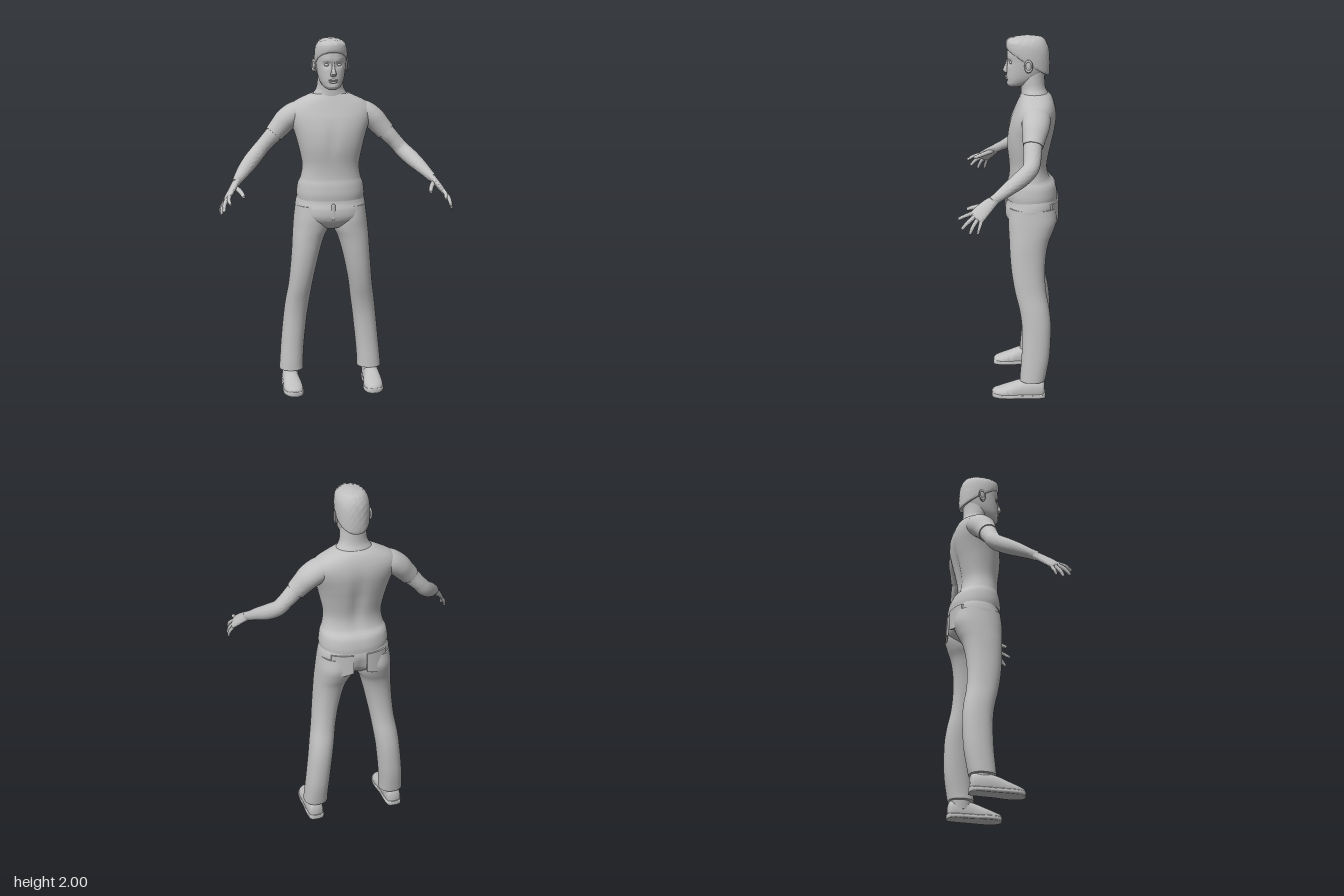
import * as THREE from 'three';
import { mergeVertices, toCreasedNormals } from 'three/addons/utils/BufferGeometryUtils.js';

const V = (x, y, z) => new THREE.Vector3(x, y, z);
const UP = V(0, 1, 0), FWD = V(0, 0, 1);

// Smooth closed sweep through sections [x, y, z, radiusU, radiusV].
// axis: fixed section normal, or null to follow the path; ref: direction of radiusU.
function sweep(secs, { axis = null, ref = V(1, 0, 0), n = 2, steps = 6, seg = 32, deform = null } = {}) {
  const path = new THREE.CatmullRomCurve3(secs.map(s => V(s[0], s[1], s[2])), false, 'catmullrom', 0.5);
  const size = new THREE.CatmullRomCurve3(secs.map(s => V(s[3], s[4], 0)), false, 'catmullrom', 0.5);
  const rows = (secs.length - 1) * steps, pos = [], idx = [];
  const pw = c => Math.sign(c) * Math.abs(c) ** (2 / n);
  const put = p => { if (deform) deform(p); pos.push(p.x, p.y, p.z); };
  for (let i = 0; i <= rows; i++) {
    const t = i / rows, c = path.getPoint(t), r = size.getPoint(t);
    const T = axis || path.getTangent(t);
    const U = ref.clone().addScaledVector(T, -T.dot(ref)).normalize();
    const W = T.clone().cross(U);
    for (let j = 0; j < seg; j++) {
      const a = j / seg * Math.PI * 2;
      put(c.clone().addScaledVector(U, r.x * pw(Math.cos(a))).addScaledVector(W, r.y * pw(Math.sin(a))));
      if (i === rows) continue;
      const k = i * seg, j2 = (j + 1) % seg;
      idx.push(k + j, k + j2, k + seg + j2, k + j, k + seg + j2, k + seg + j);
    }
  }
  // end caps
  const c0 = pos.length / 3, last = rows * seg;
  put(path.getPoint(0));
  put(path.getPoint(1));
  for (let j = 0; j < seg; j++) {
    const j2 = (j + 1) % seg;
    idx.push(c0, j2, j, c0 + 1, last + j, last + j2);
  }
  const g = new THREE.BufferGeometry();
  g.setAttribute('position', new THREE.Float32BufferAttribute(pos, 3));
  g.setIndex(idx);
  return toCreasedNormals(g, 0.9);
}

// Level rings [y, halfWidth, zFront, zBack]
const rings = list => list.map(([y, w, f, b]) => [0, y, (f + b) / 2, w, (f - b) / 2]);
const gauss = (d, w) => Math.exp(-((d / w) ** 2));

export function createModel() {
  const grey = new THREE.MeshStandardMaterial({ color: 0xc0c0c0 });
  grey.name = 'plain grey';
  const model = new THREE.Group();
  model.name = 'standingMan';
  const add = (name, geo, parent = model) => {
    const m = new THREE.Mesh(geo, grey);
    m.name = name;
    parent.add(m);
    return m;
  };
  const ball = (name, x, y, z, sx, sy, sz, parent) => {
    const m = add(name, new THREE.SphereGeometry(1, 20, 14), parent);
    m.position.set(x, y, z);
    m.scale.set(sx, sy, sz);
    return m;
  };

  // Shirt, with a groove down the spine and a soft chest
  add('shirt', sweep(rings([
    [1.105, 0.188, 0.018, -0.262], [1.14, 0.19, 0.02, -0.262], [1.19, 0.183, 0.014, -0.25],
    [1.23, 0.168, 0.005, -0.218], [1.3, 0.16, 0.005, -0.207], [1.4, 0.18, 0.016, -0.225],
    [1.48, 0.202, 0.012, -0.242], [1.55, 0.228, -0.005, -0.252], [1.6, 0.235, -0.025, -0.25],
    [1.64, 0.205, -0.042, -0.24], [1.67, 0.15, -0.055, -0.225], [1.69, 0.105, -0.065, -0.205]]), {
    axis: UP, n: 2.25, seg: 56, deform: p => {
      if (p.z < -0.15) p.z += 0.016 * gauss(p.x, 0.035) * gauss(p.y - 1.4, 0.16);
      if (p.z > -0.06) p.z -= 0.008 * gauss(p.x, 0.025) * gauss(p.y - 1.45, 0.09);
    },
  }));

  add('neck', sweep(rings([
    [1.62, 0.13, -0.06, -0.22], [1.68, 0.1, -0.06, -0.208], [1.72, 0.077, -0.06, -0.192],
    [1.77, 0.07, -0.05, -0.188], [1.82, 0.065, -0.06, -0.19]]), { axis: UP }));

  // Head, with eye sockets and cheeks shaped in
  const head = new THREE.Group();
  head.name = 'head';
  model.add(head);
  add('skull', sweep(rings([
    [1.722, 0.022, 0.004, -0.05], [1.735, 0.045, 0.016, -0.1], [1.76, 0.062, 0.019, -0.15],
    [1.79, 0.072, 0.018, -0.18], [1.83, 0.079, 0.015, -0.196], [1.87, 0.083, 0.013, -0.205],
    [1.91, 0.085, 0.015, -0.207], [1.95, 0.08, 0.005, -0.2], [1.975, 0.06, -0.02, -0.18],
    [1.99, 0.03, -0.05, -0.14]]), {
    axis: UP, n: 2.15, seg: 64, deform: p => {
      if (p.z < -0.05) return;
      const x = Math.abs(p.x);
      p.z -= 0.014 * gauss(x - 0.033, 0.016) * gauss(p.y - 1.858, 0.014);
      p.z += 0.005 * gauss(x - 0.03, 0.025) * gauss(p.y - 1.885, 0.01);
      p.z -= 0.006 * gauss(p.x, 0.03) * gauss(p.y - 1.757, 0.008);
    },
  }), head);
  add('nose', sweep([[0, 1.875, 0.008, 0.007, 0.008], [0, 1.84, 0.018, 0.009, 0.01],
    [0, 1.812, 0.025, 0.016, 0.014], [0, 1.8, 0.018, 0.014, 0.012], [0, 1.795, 0.012, 0.006, 0.006]],
  { axis: V(0, -1, 0), seg: 20 }), head);
  ball('upperLip', 0, 1.777, 0.017, 0.026, 0.006, 0.009, head);
  ball('lowerLip', 0, 1.766, 0.015, 0.022, 0.007, 0.009, head);
  for (const s of [1, -1]) {
    ball('eye', s * 0.033, 1.858, -0.008, 0.014, 0.008, 0.011, head);
    const ear = ball('ear', s * 0.087, 1.843, -0.098, 0.009, 0.034, 0.02, head);
    ear.rotation.set(-0.15, s * -0.35, s * -0.15);
    const rim = add('earRim', new THREE.TorusGeometry(0.02, 0.005, 8, 20), head);
    rim.position.set(s * 0.094, 1.848, -0.1);
    rim.rotation.y = Math.PI / 2 - s * 0.35;
    rim.scale.y = 1.4;
  }

  // Short hair: tilted rim, slightly rough surface
  add('hair', sweep(rings([
    [1.86, 0.085, 0.012, -0.209], [1.87, 0.089, 0.019, -0.213], [1.91, 0.09, 0.021, -0.214],
    [1.95, 0.085, 0.018, -0.208], [1.975, 0.072, 0.005, -0.193], [1.99, 0.052, -0.02, -0.172],
    [1.998, 0.02, -0.06, -0.13]]), {
    axis: UP, n: 2.15, seg: 64, deform: p => {
      const f = Math.min(1, (p.y - 1.86) / 0.13);
      const rough = 0.0025 * Math.sin(p.x * 190 + p.y * 90) * Math.sin(p.z * 170 + p.y * 120) * f;
      p.y += (1 - f) * 0.62 * (p.z + 0.09) + (p.y < 1.99 ? rough : 0);
      p.z += rough;
    },
  }), head);

  // Trousers: hips, legs, back pockets and fly
  add('trouserHips', sweep(rings([
    [0.935, 0.04, -0.05, -0.16], [0.955, 0.11, -0.01, -0.2], [1.0, 0.19, 0.022, -0.25],
    [1.05, 0.199, 0.025, -0.263], [1.09, 0.195, 0.012, -0.264], [1.125, 0.185, 0.008, -0.255]]), {
    axis: UP, n: 2.3, seg: 48, deform: p => {
      if (p.z < -0.15) p.z += 0.02 * gauss(p.x, 0.02) * gauss(p.y - 1.0, 0.06);
    },
  }));
  const fly = add('fly', new THREE.CapsuleGeometry(0.012, 0.07, 4, 12));
  fly.position.set(0, 1.045, 0.02);
  fly.scale.z = 0.6;

  for (const s of [1, -1]) {
    const side = s > 0 ? 'left' : 'right';
    const X = secs => secs.map(([x, ...rest]) => [x * s, ...rest]);

    // Leg rings [y, xInner, xOuter, zFront, zBack]
    const leg = [[1.07, 0.01, 0.197, 0, -0.25], [1.0, 0.004, 0.206, 0.008, -0.258],
      [0.94, 0.012, 0.212, 0.006, -0.24], [0.88, 0.04, 0.217, 0.002, -0.215],
      [0.8, 0.064, 0.222, -0.002, -0.2], [0.7, 0.087, 0.23, -0.012, -0.195],
      [0.6, 0.106, 0.24, -0.03, -0.202], [0.5, 0.12, 0.256, -0.055, -0.221],
      [0.4, 0.134, 0.268, -0.068, -0.23], [0.25, 0.15, 0.283, -0.068, -0.225],
      [0.14, 0.158, 0.292, -0.06, -0.208], [0.1, 0.158, 0.295, -0.057, -0.2]];
    add(side + 'TrouserLeg', sweep(leg.map(([y, a, b, f, k]) =>
      [s * (a + b) / 2, y, (f + k) / 2, (b - a) / 2, (f - k) / 2]), { axis: V(0, -1, 0), n: 2.2, seg: 40 }));

    // Back pocket bent around the hip
    const pocket = new THREE.BoxGeometry(0.115, 0.11, 0.012, 10, 6, 1);
    const pp = pocket.attributes.position;
    for (let i = 0; i < pp.count; i++) {
      const lx = pp.getX(i), x = lx + 0.095, y = pp.getY(i);
      const drop = y < 0 ? (y / 0.055) * 0.016 * (1 - Math.abs(lx) / 0.058) : 0;
      const surf = -0.119 - 0.145 * (1 - (x / 0.203) ** 2.3) ** (1 / 2.3);
      pp.setXYZ(i, s > 0 ? x : lx - 0.095, 1.045 + y + drop, pp.getZ(i) + (s > 0 ? surf :
        -0.119 - 0.145 * (1 - ((0.095 - lx) / 0.203) ** 2.3) ** (1 / 2.3)));
    }
    add(side + 'BackPocket', toCreasedNormals(pocket, 0.7));

    // Shoe: upper flattened underneath, with a slightly wider sole; ankle inside
    const shoe = X([[0.235, 0.045, -0.197, 0.02, 0.035], [0.235, 0.045, -0.185, 0.038, 0.055],
      [0.235, 0.045, -0.13, 0.046, 0.062], [0.234, 0.04, -0.06, 0.048, 0.058],
      [0.231, 0.03, 0, 0.054, 0.045], [0.229, 0.022, 0.05, 0.052, 0.034],
      [0.226, 0.02, 0.085, 0.036, 0.024], [0.224, 0.02, 0.098, 0.012, 0.012]]);
    add(side + 'Shoe', sweep(shoe, { axis: FWD, n: 2.3, deform: p => { p.y = Math.max(p.y, 0.01); } }));
    add(side + 'Sole', sweep(shoe.map(([x, , z, w]) => [x, 0.012, z * 1.02, w + 0.004, 0.016]),
      { axis: FWD, n: 4, deform: p => { p.y = Math.max(p.y, 0); } }));
    add(side + 'Ankle', sweep(X([[0.228, 0.05, -0.125, 0.042, 0.055], [0.227, 0.1, -0.13, 0.044, 0.055],
      [0.226, 0.16, -0.135, 0.044, 0.05]]), { axis: UP }));

    // Sleeve and arm
    add(side + 'Sleeve', sweep(X([[0.12, 1.6, -0.145, 0.06, 0.045], [0.185, 1.583, -0.142, 0.075, 0.064],
      [0.242, 1.547, -0.137, 0.073, 0.064], [0.282, 1.505, -0.13, 0.062, 0.058],
      [0.315, 1.468, -0.124, 0.054, 0.053]]), { ref: FWD }));
    add(side + 'Arm', sweep(X([[0.25, 1.54, -0.135, 0.05, 0.05], [0.32, 1.463, -0.123, 0.047, 0.049],
      [0.37, 1.41, -0.12, 0.042, 0.046], [0.408, 1.367, -0.108, 0.043, 0.044],
      [0.45, 1.327, -0.06, 0.043, 0.044], [0.49, 1.29, 0, 0.036, 0.039],
      [0.522, 1.258, 0.05, 0.028, 0.03], [0.543, 1.236, 0.086, 0.026, 0.021]]), { ref: UP }));

    // Hand: palm, four fingers and thumb
    const hand = new THREE.Group();
    hand.name = side + 'Hand';
    model.add(hand);
    add('palm', sweep(X([[0.535, 1.244, 0.072, 0.026, 0.021], [0.556, 1.219, 0.107, 0.035, 0.018],
      [0.58, 1.188, 0.143, 0.041, 0.016], [0.597, 1.165, 0.166, 0.04, 0.013],
      [0.601, 1.16, 0.171, 0.03, 0.007]]), { ref: V(0.39 * s, -0.48, -0.78) }), hand);
    const finger = (name, a, m, b, r) => add(name, sweep(X([[...a, r * 1.1, r * 1.1], [...m, r, r],
      [...b, r * 0.75, r * 0.75],
      [...b.map((v, i) => v + (b[i] - m[i]) * 0.12), r * 0.2, r * 0.2]]), { ref: UP, seg: 12, steps: 5 }), hand);
    finger('indexFinger', [0.582, 1.186, 0.182], [0.588, 1.174, 0.22], [0.582, 1.155, 0.256], 0.0105);
    finger('middleFinger', [0.592, 1.173, 0.172], [0.61, 1.145, 0.208], [0.615, 1.113, 0.237], 0.011);
    finger('ringFinger', [0.6, 1.16, 0.158], [0.62, 1.126, 0.182], [0.628, 1.092, 0.197], 0.0105);
    finger('littleFinger', [0.607, 1.15, 0.14], [0.626, 1.12, 0.15], [0.632, 1.092, 0.157], 0.009);
    finger('thumb', [0.545, 1.218, 0.108], [0.52, 1.202, 0.165], [0.508, 1.186, 0.212], 0.0125);
  }
  return model;
}
